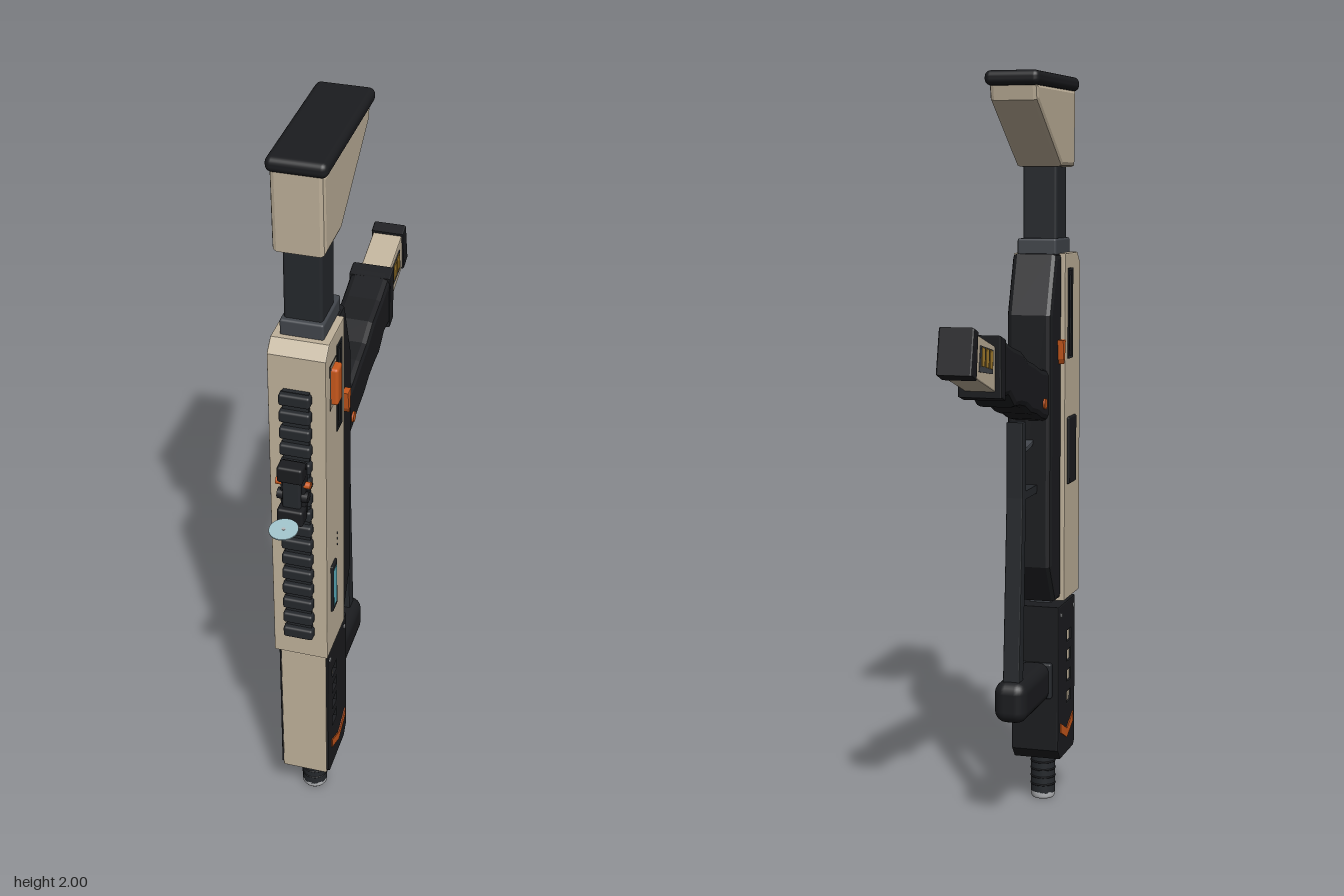
import * as THREE from 'three';
import { RoundedBoxGeometry } from 'three/addons/geometries/RoundedBoxGeometry.js';

const BEIGE = 0xc0b29b, BLACK = 0x1b1c1f, STEEL = 0x25282c, GREY = 0x41454b;
const ORANGE = 0xc8581c, CYAN = 0x5fb4c4, GLASS = 0xa5c8d0, SILVER = 0xb8babd, BRASS = 0xa8812f;

export function createModel() {
  const model = new THREE.Group();
  model.position.x = -0.008;
  const mats = {};
  const mat = (c) => (mats[c] ??= new THREE.MeshStandardMaterial({ color: c }));

  function add(name, geo, color, x = 0, y = 0, z = 0) {
    const mesh = new THREE.Mesh(geo, mat(color));
    mesh.name = name;
    mesh.position.set(x, y, z);
    model.add(mesh);
    return mesh;
  }
  // side profile given as [z, y] points, extruded across x
  function profile(name, pts, width, color, bevel = 0, x = 0, holes = []) {
    const toVec = (list) => list.map(([z, y]) => new THREE.Vector2(z, y));
    const shape = new THREE.Shape(toVec(pts));
    for (const h of holes) shape.holes.push(new THREE.Path(toVec(h)));
    const geo = new THREE.ExtrudeGeometry(shape, {
      depth: width - 2 * bevel, bevelEnabled: bevel > 0, bevelThickness: bevel,
      bevelSize: bevel, bevelOffset: -bevel, bevelSegments: 2,
    });
    geo.translate(0, 0, bevel - width / 2).rotateY(-Math.PI / 2);
    return add(name, geo, color, x);
  }
  const rect = (z0, z1, y0, y1) => [[z0, y0], [z1, y0], [z1, y1], [z0, y1]];
  // box spanning z0..z1 and y0..y1
  function block(name, z0, z1, y0, y1, width, color, r = 0, x = 0) {
    const d = z1 - z0, h = y1 - y0;
    const geo = r ? new RoundedBoxGeometry(width, h, d, 3, r) : new THREE.BoxGeometry(width, h, d);
    return add(name, geo, color, x, (y0 + y1) / 2, (z0 + z1) / 2);
  }
  function pin(name, r, len, y, z, color, x = 0) {
    return add(name, new THREE.CylinderGeometry(r, r, len, 16).rotateZ(Math.PI / 2), color, x, y, z);
  }

  // Shoulder stock
  block('buttPad', -0.065, 0.35, 1.962, 2.0, 0.146, BLACK, 0.016);
  profile('stock', [[0.335, 1.76], [0.2, 1.76], [-0.04, 1.925], [-0.048, 1.968], [0.343, 1.968]], 0.128, BEIGE, 0.012);
  block('stockTube', 0.206, 0.307, 1.55, 1.78, 0.095, STEEL, 0.008);
  block('stockCollar', 0.175, 0.32, 1.525, 1.57, 0.108, GREY, 0.006);

  // Receiver shell and dark lower frame
  profile('receiver', [[0.365, 0.578], [0.206, 0.578], [0.206, 1.53], [0.335, 1.53], [0.365, 1.5]], 0.144, BEIGE, 0.003);
  profile('lowerFrame', [[0.21, 0.585], [0.16, 0.585], [0.1, 0.69], [0.1, 1.37], [0.155, 1.53], [0.21, 1.53]],
    0.124, BLACK, 0.014);

  // Slots, levers and pins on both sides
  for (const s of [-1, 1]) {
    profile('slotFrame', rect(0.232, 0.277, 1.245, 1.49), 0.006, STEEL, 0, s * 0.072, [rect(0.238, 0.271, 1.252, 1.483)]);
    block('slotFloor', 0.238, 0.271, 1.252, 1.483, 0.004, BLACK, 0, s * 0.071);
    block('slotBar', 0.252, 0.258, 1.265, 1.47, 0.006, GREY, 0, s * 0.072);
    profile('selector', [[0.193, 1.3], [0.165, 1.3], [0.17, 1.25], [0.177, 1.235], [0.185, 1.25]], 0.022, ORANGE, 0.003, s * 0.067);
    pin('gripPin', 0.014, 0.01, 1.14, 0.063, ORANGE, s * 0.054);
    // Handguard chevron and screws
    profile('chevron', [[0.317, 0.235], [0.25, 0.203], [0.185, 0.235], [0.185, 0.208], [0.25, 0.177], [0.317, 0.208]],
      0.006, ORANGE, 0, s * 0.067);
    for (const z of [0.328, 0.19]) pin('screw', 0.006, 0.006, 0.54, z, SILVER, s * 0.067);
  }

  // Left side controls
  block('buttonBezel', 0.28, 0.333, 1.342, 1.468, 0.006, BLACK, 0, 0.07);
  block('bezelInset', 0.283, 0.33, 1.345, 1.465, 0.006, BEIGE, 0, 0.071);
  block('button', 0.286, 0.328, 1.355, 1.458, 0.03, ORANGE, 0.008, 0.076);
  block('displayFrame', 0.29, 0.332, 0.71, 0.86, 0.012, BLACK, 0.004, 0.072);
  block('displayScreen', 0.298, 0.325, 0.725, 0.845, 0.004, CYAN, 0, 0.077);
  for (let i = 0; i < 3; i++) pin('indicator', 0.003, 0.003, 0.89 + i * 0.018, 0.273, GREY, 0.072);
  // Right side ejection cover
  block('portCover', 0.23, 0.305, 0.9, 1.085, 0.012, BLACK, 0.004, -0.073);

  // Toothed top rail
  block('railBase', 0.36, 0.377, 0.65, 1.41, 0.066, STEEL);
  for (let i = 0; i < 16; i++) {
    const y = 0.652 + i * 0.0483;
    block('railTooth', 0.365, 0.392, y, y + 0.032, 0.078, STEEL, 0.007);
  }

  // Sight with its tilted-out lens
  block('sightBase', 0.385, 0.412, 1.07, 1.22, 0.062, BLACK, 0.004);
  block('sightRear', 0.398, 0.438, 1.185, 1.23, 0.064, BLACK, 0.007);
  block('sightWaist', 0.405, 0.425, 1.1, 1.2, 0.046, STEEL, 0.006);
  block('sightFront', 0.398, 0.44, 1.06, 1.105, 0.066, BLACK, 0.007);
  pin('sightKnob', 0.009, 0.088, 1.165, 0.403, ORANGE);
  pin('sightAxle', 0.014, 0.078, 1.13, 0.405, BLACK);
  const lens = add('lens', new THREE.CylinderGeometry(0.041, 0.041, 0.003, 32), GLASS, 0, 1.086, 0.487);
  lens.scale.x = 0.87;
  add('lensDot', new THREE.CylinderGeometry(0.005, 0.005, 0.005, 12), SILVER, 0, 1.086, 0.487);

  // Handguard with vent slots and front cover
  const vents = [0.29, 0.35, 0.408, 0.465].map((y) => rect(0.26, 0.301, y - 0.015, y + 0.015));
  profile('handguard', [[0.33, 0.13], [0.19, 0.13], [0.165, 0.16], [0.165, 0.567], [0.343, 0.567], [0.343, 0.145]],
    0.134, BLACK, 0.004, 0, vents);
  block('handguardCover', 0.281, 0.347, 0.136, 0.562, 0.122, BEIGE, 0.003);
  block('handguardJoint', 0.22, 0.285, 0.55, 0.6, 0.06, GREY);

  // Muzzle
  const muzzle = [[0, 0.004], [0.022, 0.004], [0.022, 0], [0.03, 0], [0.034, 0.006], [0.034, 0.018]];
  add('muzzleTip', new THREE.LatheGeometry(muzzle.map((p) => new THREE.Vector2(...p)), 24), SILVER, 0, 0, 0.252);
  add('muzzle', new THREE.CylinderGeometry(0.034, 0.034, 0.13, 24), STEEL, 0, 0.08, 0.252);
  for (let i = 0; i < 4; i++) {
    add('muzzleRing', new THREE.TorusGeometry(0.033, 0.003, 6, 24).rotateX(Math.PI / 2), BLACK, 0, 0.04 + i * 0.022, 0.252);
  }

  // Fore grip and guard strut
  block('foreGrip', -0.09, 0.175, 0.302, 0.414, 0.09, BLACK, 0.032);
  block('foreGripBase', 0.15, 0.172, 0.31, 0.41, 0.1, STEEL, 0.006);
  profile('guardStrut', [[0.0, 1.1], [0.0, 0.9], [-0.026, 0.4], [-0.066, 0.4], [-0.032, 0.9], [-0.032, 1.1]], 0.046, STEEL, 0.004);
  block('guardBar', -0.01, 0.11, 0.894, 0.916, 0.046, STEEL);

  // Trigger
  profile('trigger', [[0.11, 1.04], [0.08, 1.031], [0.04, 1.026], [0.0, 1.036], [0.0, 1.026], [0.04, 1.014], [0.08, 1.019], [0.11, 1.028]],
    0.026, GREY, 0.002);

  // Pistol grip with finger swells
  profile('pistolGrip', [[0.12, 1.225], [0.05, 1.235], [-0.02, 1.257], [-0.08, 1.272], [-0.14, 1.3], [-0.22, 1.318], [-0.31, 1.345],
    [-0.32, 1.195], [-0.25, 1.194], [-0.2, 1.16], [-0.15, 1.157], [-0.1, 1.148], [-0.05, 1.127], [0.01, 1.115], [0.05, 1.1], [0.1, 1.09], [0.12, 1.09]],
    0.108, BLACK, 0.016);
  profile('gripCollar', [[-0.293, 1.34], [-0.335, 1.352], [-0.332, 1.198], [-0.297, 1.188]], 0.114, BLACK, 0.005);

  // Magazine with round windows and end cap
  profile('magazine', [[-0.31, 1.32], [-0.49, 1.37], [-0.513, 1.27], [-0.31, 1.207]], 0.08, BEIGE, 0.004);
  profile('magazineCap', [[-0.476, 1.373], [-0.508, 1.384], [-0.534, 1.273], [-0.492, 1.257]], 0.09, BLACK, 0.005);
  for (const s of [-1, 1]) {
    profile('magazineWindow', [[-0.35, 1.318], [-0.452, 1.338], [-0.464, 1.276], [-0.356, 1.26]], 0.004, GREY, 0, s * 0.04);
    for (let i = 0; i < 3; i++) {
      const z = -0.362 - i * 0.032, y = 1.272 + i * 0.006;
      profile('round', [[z, y], [z - 0.022, y + 0.004], [z - 0.018, y + 0.05], [z + 0.004, y + 0.044]], 0.006, BRASS, 0, s * 0.041);
    }
  }
  return model;
}
